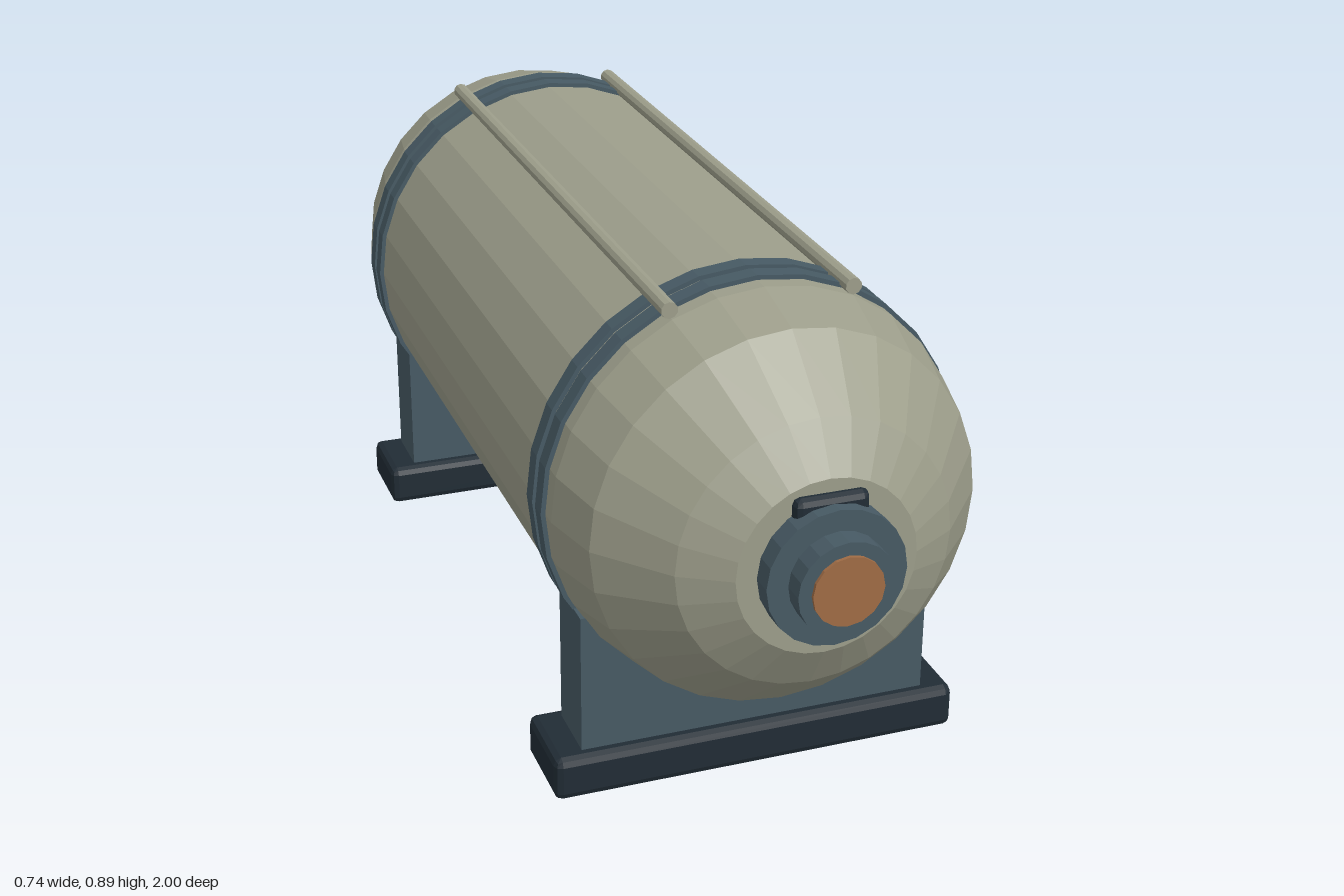
import * as THREE from 'three';
import { RoundedBoxGeometry } from 'three/addons/geometries/RoundedBoxGeometry.js';

const AXIS_Y = 0.52; // height of the tank's long axis

function material(name, hex) {
  const m = new THREE.MeshStandardMaterial({ color: hex, flatShading: true });
  m.name = name;
  return m;
}

export function createModel() {
  const group = new THREE.Group();
  const shell = material('khaki grey shell', 0x9d9e8b);
  const steel = material('blue grey steel', 0x475a64);
  const dark = material('dark base', 0x212c35);
  const copper = material('copper', 0xa06c45);

  const add = (name, geometry, mat, x = 0, y = 0, z = 0) => {
    const mesh = new THREE.Mesh(geometry, mat);
    mesh.name = name;
    mesh.position.set(x, y, z);
    group.add(mesh);
    return mesh;
  };

  // Cylinder lying along z, from z0 to z1
  const drum = (name, r, z0, z1, sides, mat, x = 0, y = AXIS_Y) =>
    add(name, new THREE.CylinderGeometry(r, r, Math.abs(z1 - z0), sides).rotateX(Math.PI / 2),
      mat, x, y, (z0 + z1) / 2);

  // Tank shell with faceted domed ends
  const half = [[0.362, 0.635], [0.335, 0.75], [0.235, 0.868], [0.153, 0.916], [0, 0.916]];
  const profile = [
    ...half.map(([r, z]) => new THREE.Vector2(r, -z)).reverse(),
    ...half.map(([r, z]) => new THREE.Vector2(r, z)),
  ];
  add('tankShell', new THREE.LatheGeometry(profile, 28).rotateX(Math.PI / 2), shell, 0, AXIS_Y, 0);

  for (const s of [1, -1]) {
    const end = s > 0 ? 'front' : 'back';

    // Strap pair
    drum(end + 'InnerStrap', 0.37, s * 0.525, s * 0.556, 28, steel);
    drum(end + 'OuterStrap', 0.37, s * 0.572, s * 0.604, 28, steel);

    // Saddle and its foot
    add(end + 'Saddle', new THREE.BoxGeometry(0.632, 0.275, 0.115), steel, 0, 0.1975, s * 0.583);
    add(end + 'Foot', new RoundedBoxGeometry(0.74, 0.08, 0.164, 1, 0.014), dark, 0, 0.04, s * 0.583);

    // End port
    drum(end + 'Flange', 0.118, s * 0.9, s * 0.955, 20, steel);
    drum(end + 'Collar', 0.082, s * 0.95, s * 0.994, 20, steel);
    drum(end + 'PortCap', 0.06, s * 0.985, s, 16, copper);

    // Top rail
    drum(s > 0 ? 'leftRail' : 'rightRail', 0.0145, -0.63, 0.63, 10, shell, s * 0.159, 0.86);
  }

  // Small plate tucked behind the front flange
  add('frontPlate', new RoundedBoxGeometry(0.126, 0.07, 0.034, 1, 0.012), dark, 0, 0.615, 0.916);

  return group;
}
